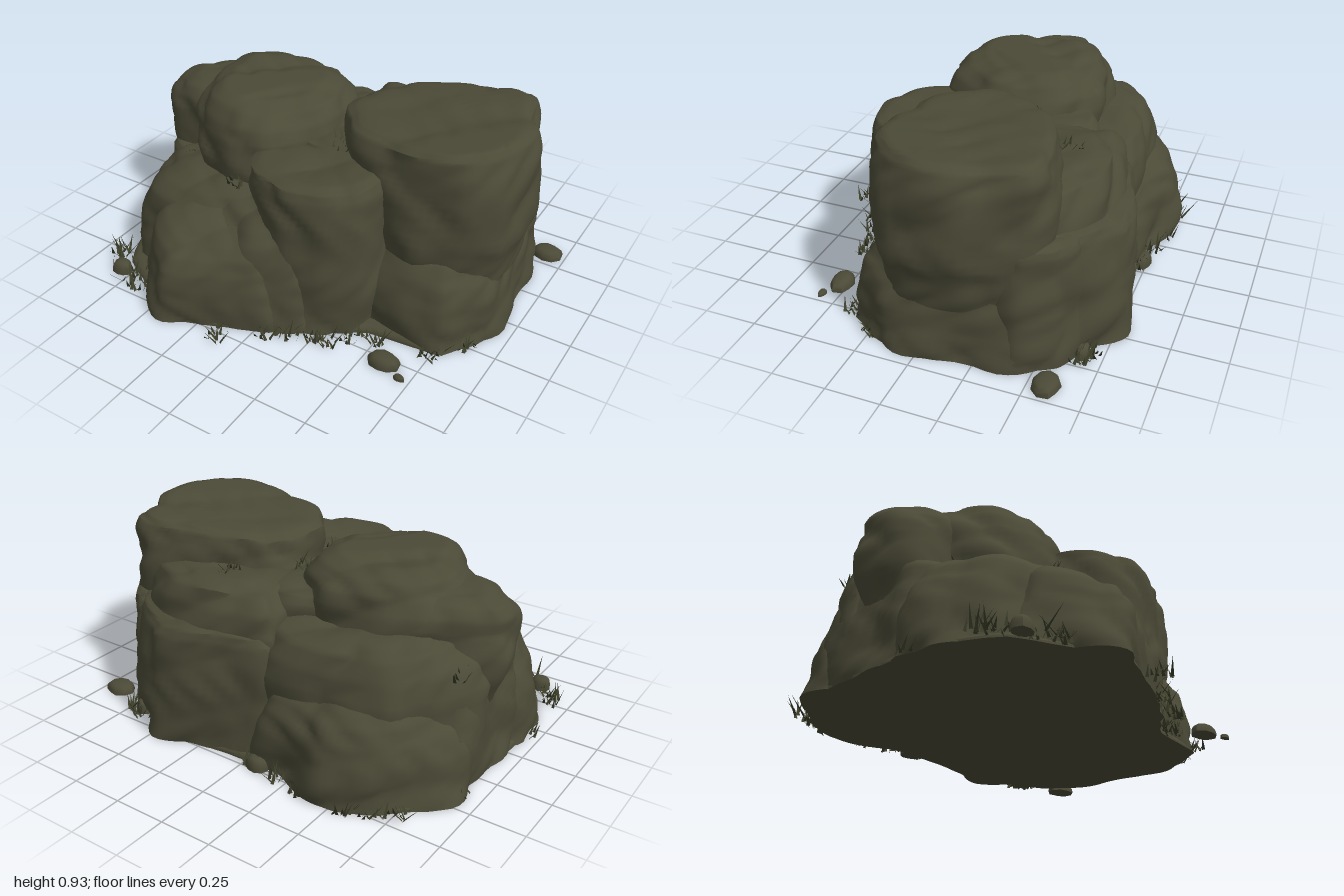
import * as THREE from 'three';
import { toCreasedNormals, mergeVertices } from 'three/addons/utils/BufferGeometryUtils.js';

const stone = new THREE.MeshStandardMaterial({ color: 0x4b4a37 });
stone.name = 'mossy stone';
const grass = new THREE.MeshStandardMaterial({ color: 0x3c3e29, side: THREE.DoubleSide });
grass.name = 'dry grass';

let seed = 7;
const rand = () => (seed = (seed * 16807) % 2147483647) / 2147483647;

// broad lumps cut by sharper grooves, with finer dents on top
function lump(x, y, z) {
  const a = Math.sin(11 * x + 5 * y + 1.6 * Math.sin(7 * z + 1));
  const b = Math.sin(12 * z - 6 * y + 1.6 * Math.sin(6 * x + 2));
  const c = Math.abs(Math.sin(8 * x + 7 * z + 4 * y + Math.sin(9 * y)));
  const d = Math.abs(Math.sin(13 * x - 15 * z + 2 * Math.sin(11 * y))) * Math.abs(Math.sin(12 * y + 5 * x));
  return 0.3 * a + 0.3 * b + 0.7 * (c - 0.65) + 0.5 * (d - 0.4);
}

// side profiles: [height fraction, footprint scale]
const BLOCK = [[0, 0], [0, 1], [0.25, 1], [0.5, 0.99], [0.75, 0.97], [0.92, 0.93], [0.98, 0.87], [1, 0.72], [1, 0.4], [1, 0]];
const SLAB = [[0, 0], [0, 0.9], [0.15, 0.94], [0.35, 1], [0.65, 0.99], [0.85, 0.96], [0.97, 0.91], [1, 0.82], [1, 0.4], [1, 0]];
const CROWN = [[0, 0], [0, 0.84], [0.3, 0.97], [0.5, 1], [0.72, 0.98], [0.84, 0.91], [0.94, 0.78], [1, 0.58], [1, 0.3], [1, 0]];
const SHOULDER = [[0, 0], [0, 0.98], [0.3, 0.99], [0.65, 1], [0.82, 0.92], [0.95, 0.78], [1, 0.5], [1, 0]];
const DOME = [[0, 0], [0, 1], [0.25, 0.99], [0.45, 0.95], [0.65, 0.88], [0.82, 0.76], [0.93, 0.6], [1, 0.35], [1, 0]];

// rock lofted from a footprint [x, z], a profile and a tilted top
function rock(name, foot, y0, y1, profile, { tx = 0, tz = 0, bump = 0.032, sides = 64, steps = 5 } = {}) {
  const pts = foot.map(([x, z]) => new THREE.Vector2(x, z));
  if (THREE.ShapeUtils.area(pts) < 0) pts.reverse();
  const curve = new THREE.CatmullRomCurve3(pts.map(p => new THREE.Vector3(p.x, 0, p.y)), true, 'catmullrom', 0.25);
  const ring = curve.getSpacedPoints(sides).slice(0, sides);
  const cx = ring.reduce((s, p) => s + p.x, 0) / sides;
  const cz = ring.reduce((s, p) => s + p.z, 0) / sides;

  const levels = [];
  for (let i = 0; i < profile.length - 1; i++)
    for (let k = 0; k < steps; k++) {
      const f = k / steps;
      levels.push([0, 1].map(n => profile[i][n] * (1 - f) + profile[i + 1][n] * f));
    }
  levels.push(profile[profile.length - 1]);

  const pos = [], index = [];
  for (const [t, s] of levels)
    for (const p of ring) {
      const dx = (p.x - cx) * s, dz = (p.z - cz) * s;
      const y = y0 + (y1 - y0) * t + t * t * (tx * dx + tz * dz);
      const n = bump * lump(cx + dx, y, cz + dz);
      const r = Math.hypot(dx, dz) || 1;
      const out = n * Math.min(1, s * 1.5);
      pos.push(cx + dx + dx / r * out, Math.max(0, y + Math.min(n, 0.005) * t * 0.7), cz + dz + dz / r * out);
    }
  for (let j = 0; j < levels.length - 1; j++)
    for (let i = 0; i < sides; i++) {
      const a = j * sides + i, b = j * sides + (i + 1) % sides;
      index.push(a, a + sides, b, b, a + sides, b + sides);
    }
  const geo = new THREE.BufferGeometry();
  geo.setAttribute('position', new THREE.Float32BufferAttribute(pos, 3));
  geo.setIndex(index);
  const mesh = new THREE.Mesh(toCreasedNormals(mergeVertices(geo), 0.9), stone);
  mesh.name = name;
  return mesh;
}

// tufts of thin leaning blades, all in one mesh
function grassTufts(spots) {
  const pos = [];
  for (const [x, y, z, size = 0.07] of spots)
    for (let i = 0; i < 16; i++) {
      const a = rand() * 6.283, lean = 0.2 + rand() * 0.8, h = size * (0.4 + rand() * 0.6), w = 0.008;
      const bx = x + (rand() - 0.5) * 0.09, bz = z + (rand() - 0.5) * 0.09;
      const c = Math.cos(a), s = Math.sin(a);
      pos.push(bx - s * w, y, bz + c * w, bx + s * w, y, bz - c * w, bx + c * h * lean, y + h, bz + s * h * lean);
    }
  const geo = new THREE.BufferGeometry();
  geo.setAttribute('position', new THREE.Float32BufferAttribute(pos, 3));
  geo.computeVertexNormals();
  const mesh = new THREE.Mesh(geo, grass);
  mesh.name = 'grassTufts';
  return mesh;
}

export function createModel() {
  seed = 7;
  const group = new THREE.Group();
  group.name = 'rockCluster';

  // flat foundation under the boulders
  const base = [[-0.93, 0.1], [-0.92, 0.3], [-0.82, 0.55], [-0.55, 0.7], [-0.4, 0.8], [-0.2, 0.74], [0, 0.65], [0.2, 0.53],
    [0.45, 0.4], [0.75, 0.36], [0.86, 0.2], [0.92, 0], [0.88, -0.3], [0.72, -0.6], [0.47, -0.76], [0.1, -0.72],
    [-0.2, -0.72], [-0.45, -0.79], [-0.7, -0.7], [-0.88, -0.53], [-0.91, -0.2]];
  group.add(rock('foundation', base, 0, 0.04, BLOCK, { bump: 0.006, steps: 2 }));

  group.add(
    // tall right side
    rock('rightUpperBoulder', [[0.95, 0], [0.93, 0.12], [0.8, 0.24], [0.6, 0.29], [0.42, 0.27], [0.2, 0.18], [0.07, 0], [0.05, -0.2],
      [0.15, -0.34], [0.45, -0.46], [0.7, -0.54], [0.83, -0.48], [0.94, -0.2]], 0.25, 0.91, SLAB, { tx: 0.06 }),
    rock('rightLowerBoulder', [[0.94, 0], [0.92, 0.18], [0.78, 0.36], [0.5, 0.36], [0.3, 0.3], [0.1, -0.2], [0.5, -0.5],
      [0.8, -0.55], [0.9, -0.35]], 0, 0.48, DOME),
    rock('rightBackBoulder', [[0.5, -0.3], [0.55, -0.6], [0.68, -0.64], [0.79, -0.58], [0.87, -0.42], [0.8, -0.2]], 0, 0.58, BLOCK),
    // left side, stacked upper boulders on a lower mass
    rock('leftUpperBoulder', [[-0.95, -0.17], [-0.94, 0.01], [-0.84, 0.1], [-0.62, 0.13], [-0.35, 0.15], [-0.25, -0.15], [-0.4, -0.42],
      [-0.78, -0.31]], 0.3, 0.82, CROWN, { tx: 0.12 }),
    rock('middleUpperBoulder', [[-0.76, -0.1], [-0.68, 0.12], [-0.54, 0.29], [-0.33, 0.35], [-0.14, 0.28], [0.03, 0.08], [0.06, -0.12],
      [-0.04, -0.34], [-0.22, -0.46], [-0.5, -0.42], [-0.7, -0.32]], 0.3, 0.88, CROWN),
    rock('leftLowerBoulder', [[-0.91, -0.2], [-0.91, 0.1], [-0.6, 0.3], [0, 0.3], [0, -0.4], [-0.6, -0.5], [-0.88, -0.4]], 0, 0.48, BLOCK),
    rock('innerCore', [[-0.3, -0.4], [-0.3, 0.1], [0, 0.2], [0.4, 0.2], [0.4, -0.4], [0, -0.5]], 0, 0.74, BLOCK),
    // front steps
    rock('frontBlock', [[-0.24, 0.3], [-0.12, 0.47], [0.08, 0.55], [0.27, 0.52], [0.41, 0.42], [0.45, 0.25], [0.4, 0.05], [0, 0],
      [-0.2, 0.1]], 0, 0.73, BLOCK, { tx: 0.06 }),
    rock('frontLeftBoulder', [[-0.94, 0.1], [-0.93, 0.3], [-0.8, 0.5], [-0.55, 0.58], [-0.25, 0.56], [0, 0.45], [0.02, 0],
      [-0.8, -0.02]], 0, 0.54, DOME, { tx: 0.12, tz: -0.15 }),
    rock('frontRamp', [[-0.5, 0.5], [-0.3, 0.64], [-0.05, 0.65], [0.2, 0.54], [0.2, 0.2], [-0.4, 0.2]], 0, 0.52, DOME, { tx: 0.2, tz: -0.3 }),
    rock('frontSlopeBoulder', [[0.06, 0.63], [-0.2, 0.75], [-0.4, 0.82], [-0.55, 0.72], [-0.72, 0.55], [-0.6, 0.3], [-0.2, 0.25],
      [0.14, 0.4]], 0, 0.44, DOME, { tz: -0.25 }),
    // back steps
    rock('backLeftBoulder', [[-0.9, -0.2], [-0.84, -0.42], [-0.65, -0.6], [-0.4, -0.66], [-0.1, -0.66], [0.1, -0.55], [0.05, -0.2],
      [-0.4, -0.1]], 0, 0.66, SHOULDER, { tz: 0.15 }),
    rock('backFootBoulder', [[-0.91, -0.35], [-0.88, -0.54], [-0.7, -0.71], [-0.45, -0.81], [-0.2, -0.74], [-0.02, -0.7], [0.05, -0.3],
      [-0.6, -0.2]], 0, 0.46, DOME, { tz: 0.2 }),
    rock('backRightUpperBoulder', [[-0.08, -0.6], [0.2, -0.68], [0.48, -0.68], [0.68, -0.55], [0.74, -0.4], [0.6, -0.1], [0, -0.15]],
      0.2, 0.76, SHOULDER),
    rock('backRightLowerBoulder', [[-0.1, -0.64], [0.2, -0.74], [0.46, -0.79], [0.6, -0.7], [0.74, -0.58], [0.78, -0.4], [0.5, -0.2],
      [0, -0.25]], 0, 0.6, BLOCK, { tz: 0.1 })
  );

  // loose stones around the foot: x, z, half width, half depth, height
  const loose = [[0.91, -0.58, 0.09, 0.06, 0.045], [0.6, 0.53, 0.085, 0.055, 0.05], [0.7, 0.58, 0.03, 0.02, 0.02],
    [-0.8, 0.63, 0.05, 0.045, 0.06], [-0.08, -0.73, 0.06, 0.04, 0.06], [0.67, -0.66, 0.05, 0.04, 0.06]];
  for (const [x, z, w, d, h] of loose) {
    const foot = [];
    for (let i = 0; i < 6; i++) {
      const a = i / 6 * Math.PI * 2 + 0.3, r = 0.85 + rand() * 0.25;
      foot.push([x + Math.cos(a) * w * r, z + Math.sin(a) * d * r]);
    }
    group.add(rock('looseStone', foot, 0, h, DOME, { bump: 0.003, sides: 9, steps: 1 }));
  }

  // grass at the foot and in the ledges: x, y, z, height
  group.add(grassTufts([
    [-0.9, 0, 0.52, 0.1], [-0.85, 0, 0.58], [-0.72, 0, 0.66, 0.1], [-0.65, 0, 0.69], [-0.12, 0, 0.77], [0.05, 0, 0.65],
    [0.14, 0, 0.6, 0.1], [0.24, 0, 0.56], [0.32, 0, 0.55], [0.4, 0, 0.47], [0.5, 0, 0.42], [0.75, 0, 0.38], [0.85, 0, 0.25],
    [0.7, 0, -0.66, 0.1], [0.65, 0, -0.69], [-0.05, 0, -0.72, 0.1], [-0.2, 0, -0.75, 0.1], [-0.32, 0, -0.77], [-0.55, 0, -0.78, 0.1],
    [-0.65, 0, -0.74], [-0.76, 0, -0.69, 0.1], [-0.9, 0, -0.4], [-0.93, 0, 0.2],
    [0.04, 0.74, -0.2], [0.12, 0.71, 0.1], [-0.28, 0.54, 0.36, 0.06], [-0.68, 0.46, 0.16, 0.05], [-0.82, 0.5, -0.33],
    [0.27, 0.75, -0.46, 0.05]
  ]));
  return group;
}
